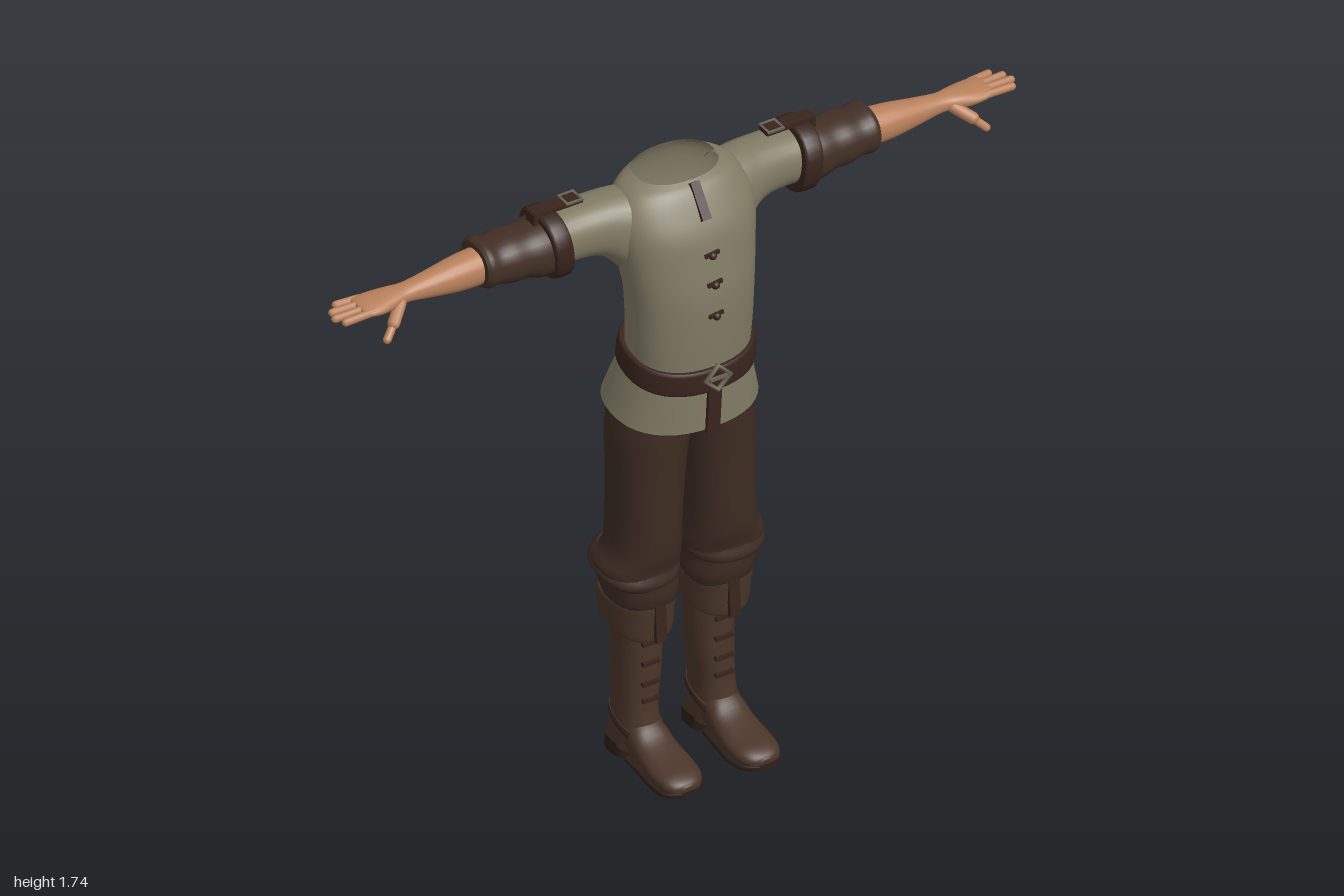
import * as THREE from 'three';

const mat = (name, color, side = THREE.FrontSide) => {
  const m = new THREE.MeshStandardMaterial({ color, side });
  m.name = name;
  return m;
};

// Smooth loft along 'x', 'y' or 'z'. Sections: [p, u0, u1, v0, v1, tilt], where
// (u, v) are the next two axes in cyclic order (y: z,x  x: y,z  z: x,y).
function loft(axis, sections, { seg = 28, caps = true, pow = 2.3, sub = 4 } = {}) {
  const P = { x: 0, y: 1, z: 2 }[axis], U = (P + 1) % 3, V = (P + 2) % 3;
  const curve = (f) => new THREE.CatmullRomCurve3(sections.map(f), false, 'catmullrom', 0.5);
  const mid = curve((s) => new THREE.Vector3(s[0], (s[1] + s[2]) / 2, (s[3] + s[4]) / 2));
  const size = curve((s) => new THREE.Vector3((s[2] - s[1]) / 2, (s[4] - s[3]) / 2, s[5] || 0));
  const rows = (sections.length - 1) * sub, pos = [], idx = [];
  const se = (c) => Math.sign(c) * Math.abs(c) ** (2 / pow);
  const ring = (t) => {
    const c = mid.getPoint(t), r = size.getPoint(t);
    for (let j = 0; j < seg; j++) {
      const a = (j / seg) * Math.PI * 2, cu = se(Math.cos(a)), sv = se(Math.sin(a)), q = [];
      q[P] = c.x + r.z * cu; q[U] = c.y + r.x * cu; q[V] = c.z + r.y * sv;
      pos.push(...q);
    }
    return c;
  };
  for (let i = 0; i <= rows; i++) ring(i / rows);
  for (let i = 0; i < rows; i++) for (let j = 0; j < seg; j++) {
    const a = i * seg + j, b = i * seg + (j + 1) % seg;
    idx.push(a, b, b + seg, a, b + seg, a + seg);
  }
  if (caps) for (const t of [0, 1]) {
    const s = pos.length / 3, c = ring(t), q = [];
    q[P] = c.x; q[U] = c.y; q[V] = c.z;
    pos.push(...q);
    for (let j = 0; j < seg; j++) {
      const k = (j + 1) % seg;
      idx.push(s + seg, s + (t ? j : k), s + (t ? k : j));
    }
  }
  const g = new THREE.BufferGeometry();
  g.setAttribute('position', new THREE.Float32BufferAttribute(pos, 3));
  g.setIndex(idx);
  g.computeVertexNormals();
  return g;
}

const box = (w, h, d, x, y, z, rx = 0, rz = 0) =>
  new THREE.BoxGeometry(w, h, d).rotateX(rx).rotateZ(rz).translate(x, y, z);

// Rounded finger segment between two points
function finger(a, b, r) {
  const A = new THREE.Vector3(...a), B = new THREE.Vector3(...b), d = B.clone().sub(A);
  const g = new THREE.CapsuleGeometry(r, d.length(), 4, 10);
  g.applyQuaternion(new THREE.Quaternion().setFromUnitVectors(new THREE.Vector3(0, 1, 0), d.normalize()));
  const m = A.add(B).multiplyScalar(0.5);
  return g.translate(m.x, m.y, m.z);
}

function mirrored(g) {
  const m = g.clone().scale(-1, 1, 1), a = m.index.array;
  for (let i = 0; i < a.length; i += 3) [a[i], a[i + 1]] = [a[i + 1], a[i]];
  return m;
}

export function createModel() {
  const group = new THREE.Group();
  const shirt = mat('olive cloth', 0x817b64, THREE.DoubleSide);
  const trousers = mat('dark brown cloth', 0x3d2b22);
  const boot = mat('boot leather', 0x4a3528);
  const cuffs = mat('sleeve leather', 0x422f25);
  const strap = mat('strap leather', 0x38241c);
  const skin = mat('skin', 0xb9815c);
  const metal = mat('dull metal', 0x6a6353);
  const sole = mat('sole', 0x2b1e18);

  const add = (name, g, m) => {
    const mesh = new THREE.Mesh(g, m);
    mesh.name = name;
    group.add(mesh);
  };
  const pair = (name, g, m) => {
    add(name + 'Left', g, m);
    add(name + 'Right', mirrored(g), m);
  };

  // Shirt body, open at neck and hem
  add('shirtBody', loft('y', [
    [1.06, -.19, .13, -.2, .2, -.02], [1.13, -.163, .13, -.182, .182, -.02],
    [1.21, -.125, .13, -.163, .163, -.02], [1.3, -.11, .136, -.165, .165],
    [1.42, -.113, .139, -.17, .17], [1.52, -.133, .126, -.183, .183],
    [1.6, -.148, .11, -.193, .193], [1.66, -.15, .08, -.188, .188],
    [1.705, -.143, .05, -.16, .16], [1.73, -.13, .025, -.115, .115, -.007],
  ], { seg: 40, caps: false }), shirt);
  pair('shirtSleeve', loft('x', [
    [.13, 1.44, 1.705, -.14, .05], [.18, 1.495, 1.705, -.142, .03],
    [.23, 1.54, 1.7, -.143, .012], [.3, 1.55, 1.695, -.145, .002], [.38, 1.545, 1.69, -.145, .002],
  ], { caps: false }), shirt);

  // Collar slit and chest fasteners
  add('collarSlit', box(.026, .1, .02, 0, 1.68, .064, -.63), strap);
  for (const [y, z] of [[1.555, .121], [1.475, .135], [1.385, .14]]) {
    add('fastenerLoop', box(.042, .01, .01, 0, y, z, 0, .12), strap);
    add('fastenerToggle', new THREE.SphereGeometry(.011, 10, 8).translate(0, y - .004, z + .004), strap);
  }

  // Belt, hanging end and diamond buckle
  add('belt', loft('y', [
    [1.182, -.142, .139, -.173, .173, -.026], [1.19, -.147, .143, -.178, .178, -.026],
    [1.24, -.136, .143, -.175, .175, -.026], [1.248, -.131, .139, -.17, .17, -.026],
  ], { seg: 40, sub: 2 }), strap);
  add('beltEnd', box(.038, .14, .01, -.005, 1.105, .138, 0, -.05), strap);
  add('buckle', new THREE.TorusGeometry(.036, .007, 6, 4).translate(0, 1.2, .15), metal);
  add('bucklePin', box(.05, .008, .008, 0, 1.2, .152), metal);

  // Leather lower sleeves with soft folds
  pair('lowerSleeve', loft('x', [
    [.36, 1.54, 1.69, -.15, .008], [.41, 1.54, 1.688, -.148, .01], [.45, 1.552, 1.683, -.142, .004],
    [.49, 1.552, 1.685, -.146, .005], [.53, 1.562, 1.68, -.138, 0], [.56, 1.56, 1.688, -.142, .003],
    [.575, 1.568, 1.68, -.135, -.004],
  ]), cuffs);

  // Upper arm band, shoulder strap and buckle
  pair('armBand', loft('x', [
    [.338, 1.532, 1.705, -.155, .018, .008], [.345, 1.525, 1.712, -.162, .025, .008],
    [.382, 1.525, 1.712, -.162, .025, .008], [.39, 1.532, 1.705, -.155, .018, .008],
  ], { sub: 2 }), strap);
  pair('shoulderStrap', box(.14, .012, .04, .34, 1.715, -.07), strap);
  pair('shoulderStrapEnd', box(.012, .03, .04, .407, 1.703, -.07), strap);
  pair('shoulderBuckle', new THREE.TorusGeometry(.03, .005, 6, 4).rotateZ(Math.PI / 4)
    .rotateX(Math.PI / 2).translate(.295, 1.72, -.07), metal);

  // Forearm and hand
  pair('forearm', loft('x', [
    [.54, 1.572, 1.668, -.115, -.02], [.63, 1.573, 1.662, -.11, -.022], [.71, 1.583, 1.65, -.1, -.03],
    [.78, 1.593, 1.64, -.094, -.037], [.82, 1.592, 1.638, -.103, -.03], [.87, 1.595, 1.634, -.113, -.02],
    [.91, 1.603, 1.63, -.112, -.022], [.92, 1.609, 1.625, -.105, -.03],
  ], { seg: 20 }), skin);
  [[-.103, -.112, .955], [-.08, -.087, .981], [-.056, -.06, .989], [-.032, -.033, .975]].forEach(([z0, z1, x]) => {
    pair('finger', finger([.895, 1.617, z0], [x, 1.614, z1], .0105), skin);
  });
  pair('thumbBase', finger([.81, 1.607, -.042], [.848, 1.577, -.012], .016), skin);
  pair('thumb', finger([.845, 1.579, -.014], [.877, 1.548, .004], .011), skin);

  // Trousers, baggy below the knee
  pair('trouserLeg', loft('y', [
    [.47, -.12, .045, .03, .19], [.505, -.13, .06, .02, .203, .01], [.55, -.152, .062, .022, .212, .01],
    [.6, -.15, .06, .012, .232], [.65, -.128, .072, .018, .205], [.74, -.13, .077, .018, .197],
    [.88, -.134, .08, .01, .195], [1, -.145, .085, -.006, .192], [1.12, -.14, .09, -.02, .165],
  ]), trousers);
  pair('kneeFold', loft('y', [
    [.56, -.14, .05, .03, .21, -.02], [.585, -.158, .066, .014, .234, -.02], [.615, -.138, .06, .025, .215, -.02],
  ]), trousers);

  // Boots: turned cuff, shaft, foot, sole and heel
  pair('bootCuff', loft('y', [
    [.405, -.15, .035, .038, .185, -.02], [.413, -.165, .045, .028, .195, -.02],
    [.46, -.163, .05, .025, .2, -.008], [.497, -.155, .053, .022, .203], [.503, -.14, .04, .035, .19],
  ]), boot);
  pair('bootShaft', loft('y', [
    [.03, -.135, .0, .058, .168], [.1, -.135, .015, .06, .167], [.16, -.132, .008, .06, .164],
    [.25, -.136, .006, .05, .164], [.34, -.132, .006, .046, .165], [.43, -.13, .01, .045, .17],
  ]), boot);
  pair('bootFoot', loft('z', [
    [-.06, .065, .162, .02, .12], [0, .06, .166, .015, .125], [.05, .055, .17, .012, .092],
    [.11, .05, .175, .01, .072], [.16, .056, .171, .01, .062], [.188, .075, .155, .012, .05],
    [.198, .1, .13, .02, .038],
  ]), boot);
  pair('bootSole', loft('z', [
    [-.02, .06, .168, .006, .022], [.06, .051, .173, .004, .022], [.12, .046, .178, .004, .022],
    [.17, .056, .172, .006, .024], [.2, .09, .14, .012, .026],
  ], { pow: 4 }), sole);
  pair('bootHeel', loft('y', [
    [0, -.138, -.035, .056, .17], [.02, -.138, -.033, .056, .17], [.04, -.139, -.03, .055, .17],
  ], { pow: 3, sub: 2 }), sole);
  pair('ankleStrap', loft('y', [
    [.092, -.137, .034, .055, .17, -.025], [.1, -.139, .034, .054, .171, -.025], [.112, -.137, .03, .056, .169, -.025],
  ], { sub: 2 }), strap);

  // Boot front tab and laces
  pair('bootTab', box(.03, .11, .012, .108, .445, .052, -.05), strap);
  for (const y of [.19, .24, .3, .36]) pair('bootLace', box(.05, .011, .012, .107, y, .007), strap);
  return group;
}
